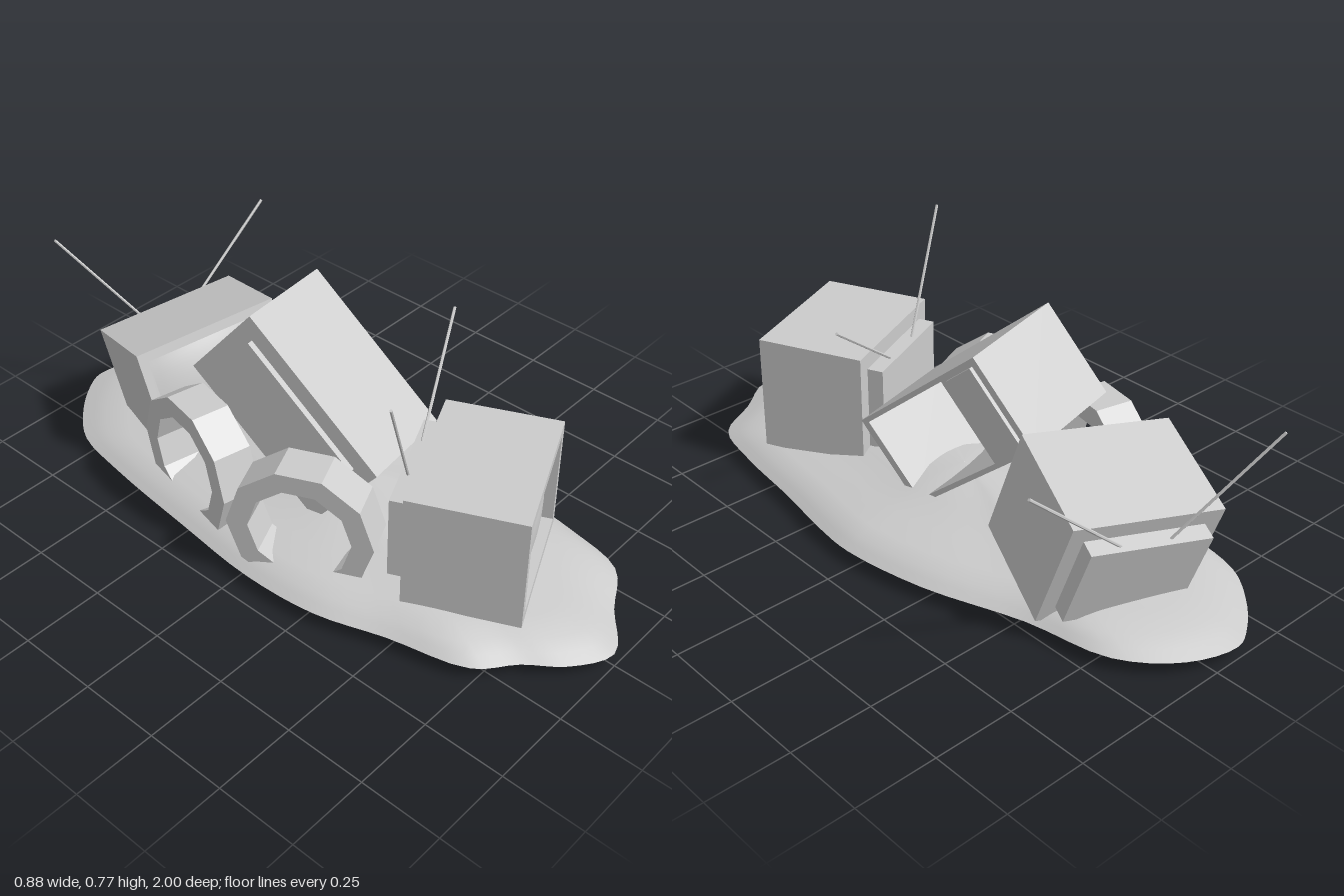
import * as THREE from 'three';

const grey = new THREE.MeshStandardMaterial({ color: 0xcccccc });
const flat = new THREE.MeshStandardMaterial({ color: 0xcccccc, flatShading: true });
const open = new THREE.MeshStandardMaterial({ color: 0xcccccc, side: THREE.DoubleSide });

function add(parent, name, geometry, material = grey, x = 0, y = 0, z = 0) {
  const m = new THREE.Mesh(geometry, material);
  m.name = name;
  m.position.set(x, y, z);
  parent.add(m);
  return m;
}

// Turn a group so its front points along "front" and its own +x leans along "side"
function place(group, center, front, side) {
  const Z = new THREE.Vector3(...front).normalize();
  const Y = Z.clone().cross(new THREE.Vector3(...side)).normalize();
  const X = Y.clone().cross(Z);
  group.quaternion.setFromRotationMatrix(new THREE.Matrix4().makeBasis(X, Y, Z));
  group.position.set(...center);
}

function rectangle(Path, x0, x1, y0, y1) {
  return new Path([[x0, y0], [x1, y0], [x1, y1], [x0, y1]].map(p => new THREE.Vector2(...p)));
}

// Rectangular block of given size with a rectangular opening right through it
function frame(w, h, depth, hole) {
  const s = rectangle(THREE.Shape, -w / 2, w / 2, -h / 2, h / 2);
  s.holes.push(rectangle(THREE.Path, ...hole));
  return new THREE.ExtrudeGeometry(s, { depth, bevelEnabled: false });
}

function rod(parent, name, a, b, r) {
  const A = new THREE.Vector3(...a), B = new THREE.Vector3(...b);
  const m = add(parent, name, new THREE.CylinderGeometry(r, r, A.distanceTo(B), 6), flat);
  m.position.copy(A).lerp(B, 0.5);
  m.quaternion.setFromUnitVectors(new THREE.Vector3(0, 1, 0), B.sub(A).normalize());
}

function television() {
  const g = new THREE.Group(), w = 0.456, h = 0.365, d = 0.34, rec = 0.04, m = 0.03;
  g.name = 'television';
  add(g, 'cabinet', new THREE.BoxGeometry(w, h, d - rec), grey, 0, 0, -rec / 2);
  add(g, 'screenFrame', frame(w, h, rec, [-w / 2 + m, w / 2 - m, -h / 2 + m, h / 2 - m]), grey, 0, 0, d / 2 - rec);
  // Gently bulging screen
  const screen = new THREE.PlaneGeometry(w - 2 * m, h - 2 * m, 12, 10), p = screen.attributes.position;
  for (let i = 0; i < p.count; i++) {
    const u = p.getX(i) / (w / 2 - m), v = p.getY(i) / (h / 2 - m);
    p.setZ(i, 0.002 + 0.025 * (1 - u * u) * (1 - v * v));
  }
  screen.computeVertexNormals();
  add(g, 'screen', screen, grey, 0, 0, d / 2 - rec);
  add(g, 'backCover', new THREE.BoxGeometry(w - 0.09, h - 0.1, 0.05), grey, 0, 0, -d / 2 - 0.025);
  rod(g, 'antenna', [-0.06, 0.125, -0.2], [-0.262, 0.495, -0.2], 0.0045);
  rod(g, 'antenna', [0.08, 0.125, -0.2], [0.42, 0.367, -0.2], 0.0045);
  return g;
}

function microwave() {
  const g = new THREE.Group(), w = 0.566, h = 0.3, d = 0.347;
  g.name = 'microwave';
  // Case with an open cavity, closed at the rear
  add(g, 'case', frame(w, h, d - 0.03, [-w / 2 + 0.025, w / 2 - 0.165, -h / 2 + 0.015, h / 2 - 0.015]), grey, 0, 0, -d / 2 + 0.03);
  add(g, 'backWall', new THREE.BoxGeometry(w, h, 0.03), grey, 0, 0, -d / 2 + 0.015);
  add(g, 'backCover', new THREE.BoxGeometry(w - 0.11, h - 0.1, 0.02), grey, 0, 0, -d / 2 - 0.01);
  add(g, 'controlPanel', new THREE.BoxGeometry(0.115, h - 0.04, 0.012), grey, w / 2 - 0.08, 0, d / 2 + 0.006);
  return g;
}

// Ten-sided ring standing upright, axis along its own z
function tyre() {
  const ring = (Path, r) => new Path(Array.from({ length: 10 }, (_, i) => {
    const a = (i + 0.5) * Math.PI / 5 + Math.PI / 2;
    return new THREE.Vector2(r * Math.cos(a), r * Math.sin(a));
  }));
  const s = ring(THREE.Shape, 0.217);
  s.holes.push(ring(THREE.Path, 0.153));
  const geo = new THREE.ExtrudeGeometry(s, { depth: 0.12, bevelEnabled: false }).translate(0, 0, -0.06);
  const g = new THREE.Group();
  g.name = 'tyre';
  add(g, 'tyreRing', geo, flat);
  return g;
}

// Low hollow heap: one outline shrunk towards the middle while it rises
function mound() {
  const outline = [
    [-0.08, -1], [0.07, -0.95], [0.2, -0.81], [0.26, -0.55], [0.365, -0.25], [0.41, 0.02], [0.4, 0.16],
    [0.365, 0.37], [0.33, 0.63], [0.28, 0.81], [0.14, 0.9], [0, 0.995], [-0.12, 0.93], [-0.2, 0.83],
    [-0.3, 0.74], [-0.365, 0.5], [-0.43, 0.29], [-0.447, 0.05], [-0.42, -0.24], [-0.38, -0.58],
    [-0.34, -0.77], [-0.26, -0.88], [-0.16, -0.965],
  ].map(([x, z]) => new THREE.Vector3(x, 0, z));
  const n = 92, pts = new THREE.CatmullRomCurve3(outline, true).getPoints(n);
  const rise = [[1, 0.048], [0.95, 0.065], [0.9, 0.08], [0.8, 0.1], [0.6, 0.115], [0.4, 0.145], [0.2, 0.172], [0.002, 0.18]];
  const pos = [], idx = [];
  rise.forEach(([s, y], k) => {
    for (let i = 0; i < n; i++) {
      pos.push(-0.02 + (pts[i].x + 0.02) * s, y, pts[i].z * s);
      if (k === 0) continue;
      const j = (i + 1) % n, a = (k - 1) * n, b = k * n;
      idx.push(a + i, b + i, a + j, a + j, b + i, b + j);
    }
  });
  const geo = new THREE.BufferGeometry();
  geo.setAttribute('position', new THREE.Float32BufferAttribute(pos, 3));
  geo.setIndex(idx);
  geo.computeVertexNormals();
  return geo;
}

export function createModel() {
  const model = new THREE.Group();
  model.name = 'scrapHeap';
  add(model, 'mound', mound(), open);

  const front = television();
  place(front, [0.003, 0.2825, 0.53], [0.417, 0, 0.91], [0.91, 0, -0.417]);

  const back = television();
  place(back, [-0.022, 0.259, -0.558], [-0.11, 0.1, 0.3], [0.43, 0.058, 0.145]);

  const middle = microwave();
  place(middle, [-0.021, 0.399, -0.071], [0.34, -0.03, -0.06], [-0.03, 0.365, -0.44]);

  const tyreA = tyre(), tyreB = tyre();
  place(tyreA, [-0.3, 0.212, 0.145], [0.91, 0, -0.41], [0.41, 0, 0.91]);
  place(tyreB, [-0.295, 0.212, -0.28], [0.978, 0, 0.208], [0.208, 0, -0.978]);
  // Keep both tyres upright
  tyreA.rotation.set(0, Math.atan2(0.91, -0.41), 0);
  tyreB.rotation.set(0, Math.atan2(0.978, 0.208), 0);

  model.add(front, back, middle, tyreA, tyreB);
  return model;
}
